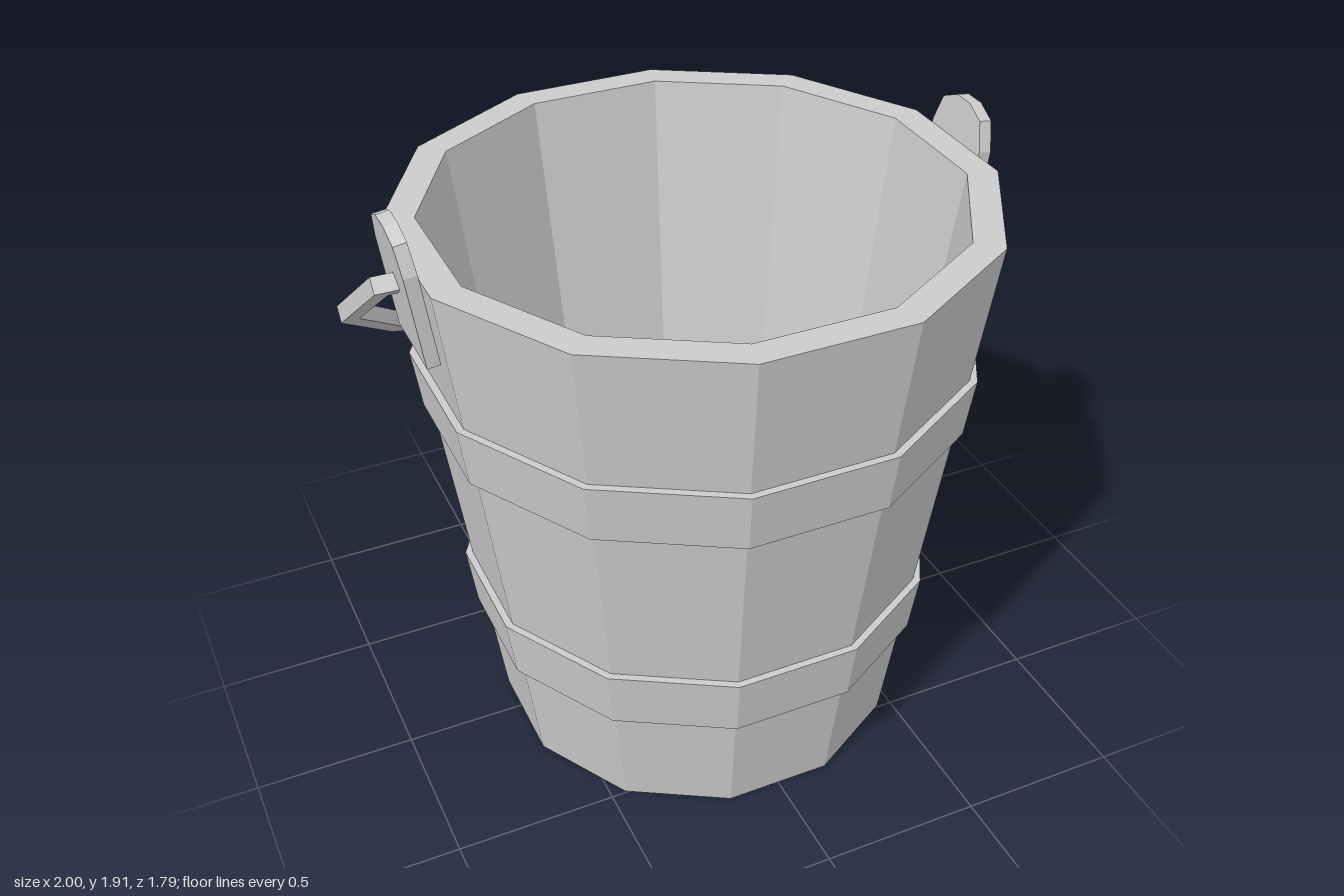
import * as THREE from 'three';

const SIDES = 12;
const CENTRE_Z = 0.04;           // the bucket axis; the handle hangs to the back
const SLOPE = 0.235 / 1.78;      // outward lean of the wall

const mat = new THREE.MeshStandardMaterial({ color: 0xcccccc, flatShading: true });

function mesh(name, geometry) {
  const m = new THREE.Mesh(geometry, mat);
  m.name = name;
  return m;
}

// Twelve-sided lathe; profile given as [distance to flat side, height]
function facetedLathe(name, profile) {
  const k = 1 / Math.cos(Math.PI / SIDES);
  const pts = profile.map(([r, y]) => new THREE.Vector2(r * k, y));
  const m = mesh(name, new THREE.LatheGeometry(pts, SIDES, Math.PI / SIDES));
  m.position.z = CENTRE_Z;
  return m;
}

const wallAt = (y) => 0.62 + SLOPE * y;

function hoop(name, y0, y1) {
  const t = 0.022, sink = 0.02;
  return facetedLathe(name, [
    [wallAt(y0) - sink, y0], [wallAt(y0) + t, y0],
    [wallAt(y1) + t, y1], [wallAt(y1) - sink, y1],
  ]);
}

// Offsets an open polyline sideways with mitred corners
function offsetLine(pts, d) {
  return pts.map((p, i) => {
    const a = pts[Math.max(i - 1, 0)], b = pts[Math.min(i + 1, pts.length - 1)];
    const normal = (u, v) => new THREE.Vector2(u.y - v.y, v.x - u.x).normalize();
    const n1 = i > 0 ? normal(a, p) : normal(p, b);
    const n2 = i < pts.length - 1 ? normal(p, b) : n1;
    const m = n1.clone().add(n2).normalize();
    return p.clone().addScaledVector(m, d / m.dot(n1));
  });
}

// Ear plate that leans with the wall
function ear(name, turn) {
  const right = [[0.13, 0], [0.13, 0.29], [0.1, 0.375], [0.035, 0.405]];
  const left = right.map(([x, y]) => [-x, y]).reverse();
  const shape = new THREE.Shape([...right, ...left].map(([x, y]) => new THREE.Vector2(x, y)));
  const geo = new THREE.ExtrudeGeometry(shape, { depth: 0.04, bevelEnabled: false });
  geo.rotateY(Math.PI / 2);
  geo.rotateZ(-Math.atan(SLOPE));
  geo.translate(0.818, 1.505, 0);
  geo.rotateY(turn);
  const m = mesh(name, geo);
  m.position.z = 0.035;
  return m;
}

// Square bar bent in one plane, swung down towards the back
function bail() {
  const half = [[0.87, 0], [0.932, 0], [0.973, 0.32], [0.765, 0.715], [0.3, 1.09]];
  const path = [...half, ...half.map(([x, s]) => [-x, s]).reverse()]
    .map(([x, s]) => new THREE.Vector2(x, s));
  const outline = [...offsetLine(path, 0.025), ...offsetLine(path, -0.025).reverse()];
  const geo = new THREE.ExtrudeGeometry(new THREE.Shape(outline), { depth: 0.05, bevelEnabled: false });
  geo.translate(0, 0, -0.025);
  const m = mesh('handleBar', geo);
  m.rotation.x = Math.atan2(-0.764, -0.645);
  m.position.set(0, 1.707, 0.034);
  return m;
}

// Eight-sided grip, slightly thicker in the middle
function grip() {
  const pts = [[0, -0.257], [0.08, -0.257], [0.092, 0], [0.08, 0.257], [0, 0.257]]
    .map(([r, y]) => new THREE.Vector2(r, y));
  const m = mesh('handleGrip', new THREE.LatheGeometry(pts, 8));
  m.rotation.z = Math.PI / 2;
  m.position.set(0, 1.004, -0.805);
  return m;
}

export function createModel() {
  const model = new THREE.Group();
  model.name = 'bucket';

  // Hollow body: underside, wall, rim, inner wall, floor
  model.add(facetedLathe('body', [
    [0, 0], [0.62, 0], [0.855, 1.78], [0.765, 1.78], [0.545, 0.11], [0, 0.11],
  ]));
  model.add(hoop('lowerHoop', 0.38, 0.575), hoop('upperHoop', 1.155, 1.342));
  model.add(ear('leftEar', 0), ear('rightEar', Math.PI));

  const handle = new THREE.Group();
  handle.name = 'handle';
  handle.add(bail(), grip());
  model.add(handle);
  return model;
}
